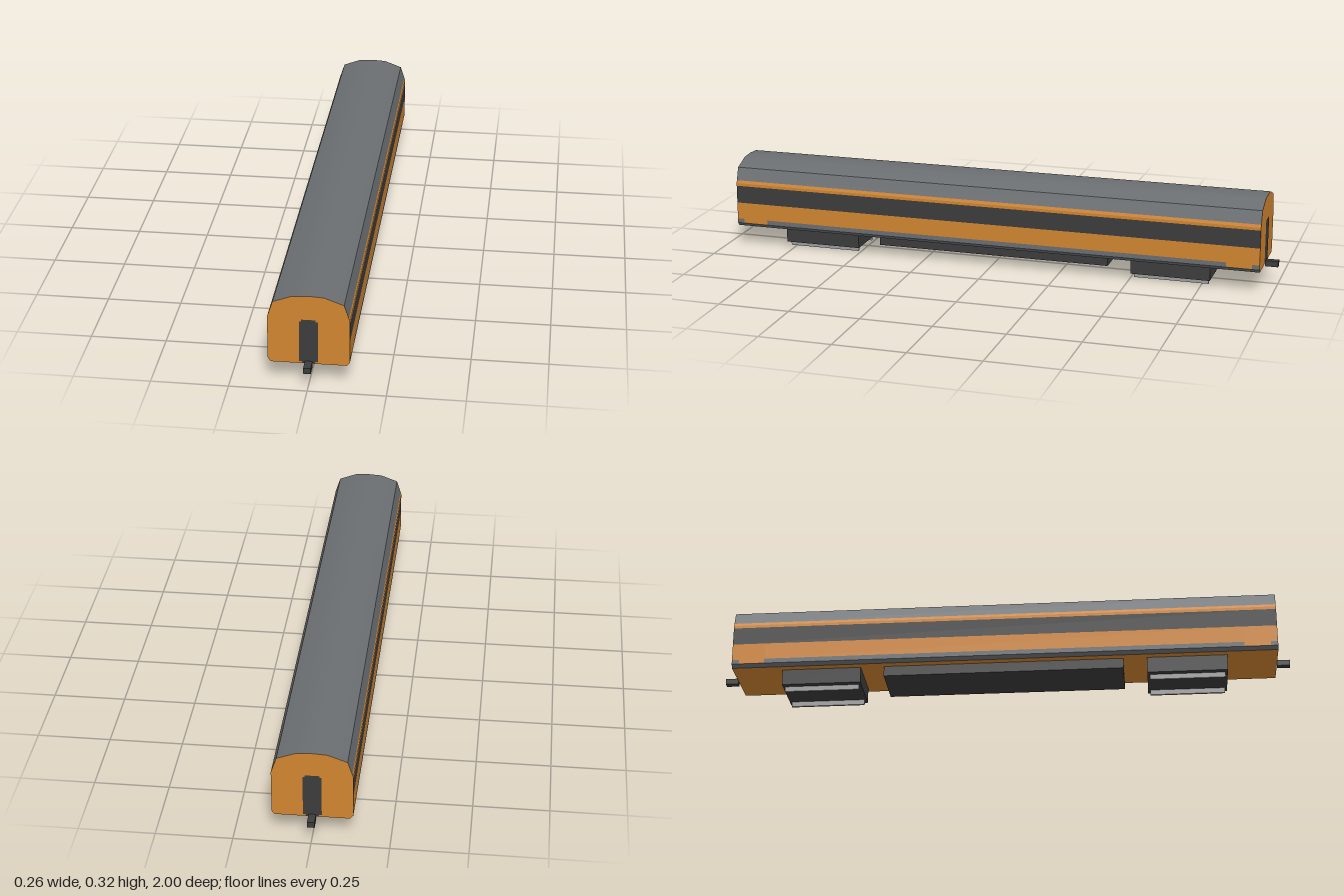
import * as THREE from 'three';

const material = (name, color) => {
  const m = new THREE.MeshStandardMaterial({ color });
  m.name = name;
  return m;
};

export function createModel() {
  const orange = material('orange paint', 0xd08530);
  const dark = material('charcoal', 0x3c3c3d);
  const grey = material('roof grey', 0x6a6e71);
  const steel = material('light steel', 0x9c9c9c);
  const END = 0.955;

  // Skin swept along z; the section runs anticlockwise seen from the front
  const strip = (name, mat, points, z0 = -END, z1 = END) => {
    const pos = [], idx = [];
    points.forEach(([x, y], i) => {
      pos.push(x, y, z1, x, y, z0);
      if (i) {
        const a = 2 * i - 2;
        idx.push(a, a + 1, a + 3, a, a + 3, a + 2);
      }
    });
    const g = new THREE.BufferGeometry();
    g.setAttribute('position', new THREE.Float32BufferAttribute(pos, 3));
    g.setIndex(idx);
    g.computeVertexNormals();
    const mesh = new THREE.Mesh(g, mat);
    mesh.name = name;
    return mesh;
  };

  const box = (name, mat, [x0, x1], [y0, y1], [z0, z1]) => {
    const mesh = new THREE.Mesh(new THREE.BoxGeometry(x1 - x0, y1 - y0, z1 - z0), mat);
    mesh.position.set((x0 + x1) / 2, (y0 + y1) / 2, (z0 + z1) / 2);
    mesh.name = name;
    return mesh;
  };

  const flat = (name, mat, points, z) => {
    const shape = new THREE.Shape(points.map(([x, y]) => new THREE.Vector2(x, y)));
    const mesh = new THREE.Mesh(new THREE.ShapeGeometry(shape), mat);
    mesh.position.z = z;
    mesh.name = name;
    return mesh;
  };

  const mirrored = (right) => [
    ...right,
    ...right.filter(([x]) => x > 0).reverse().map(([x, y]) => [-x, y]),
  ];

  // One side wall, one end and one bogie; used twice, turned half round
  const buildHalf = (name) => {
    const half = new THREE.Group();
    half.name = name;

    // Side wall bands, bottom to top
    half.add(strip('sill', grey, [[0.12, 0.074], [0.13, 0.086]]));
    const skirt = [[-END, -0.93, 0.102], [-0.93, -0.84, 0.087], [-0.84, 0.84, 0.103],
      [0.84, 0.93, 0.087], [0.93, END, 0.102]];
    for (const [z0, z1, top] of skirt) {
      half.add(strip('skirtStripe', grey, [[0.13, 0.086], [0.13, top]], z0, z1));
      half.add(strip('lowerPanel', orange, [[0.13, top], [0.13, 0.162]], z0, z1));
    }
    half.add(strip('windowBand', dark, [[0.13, 0.162], [0.13, 0.225]]));
    half.add(strip('upperPanel', orange, [[0.13, 0.225], [0.13, 0.235]]));
    half.add(strip('eavesStripe', orange, [[0.13, 0.235], [0.1267, 0.245]]));
    half.add(strip('roofShoulder', grey, [[0.1267, 0.245], [0.112, 0.29]]));

    // End wall and gangway door
    half.add(flat('endWall', orange, mirrored([[0.12, 0.074], [0.13, 0.086], [0.13, 0.235],
      [0.112, 0.29], [0.05, 0.313], [0, 0.316]]), END));
    half.add(flat('gangwayDoor', dark, mirrored([[0.02, 0.076], [0.022, 0.081], [0.03, 0.081],
      [0.03, 0.225], [0.023, 0.225], [0.023, 0.232]]), END + 0.001));
    half.add(box('coupler', dark, [-0.012, 0.012], [0.063, 0.083], [END, 1]));

    // Bogie with its wheel rows
    half.add(box('bogie', dark, [-0.092, 0.092], [0.018, 0.075], [0.502, 0.78]));
    for (const x of [-0.067, 0.067]) {
      half.add(box('wheelRow', steel, [x - 0.004, x + 0.004], [0, 0.02], [0.51, 0.772]));
    }
    return half;
  };

  const model = new THREE.Group();
  model.name = 'railwayCarriage';
  const front = buildHalf('frontHalf');
  const back = buildHalf('backHalf');
  back.rotation.y = Math.PI;
  model.add(front, back);

  // Roof, floor and underfloor equipment
  model.add(strip('roof', grey, mirrored([[0.112, 0.29], [0.05, 0.313], [0, 0.316]])));
  model.add(strip('floor', orange, [[-0.12, 0.074], [0.12, 0.074]]));
  model.add(box('underfloorBox', dark, [-0.092, 0.092], [0.038, 0.075], [-0.42, 0.42]));
  return model;
}
